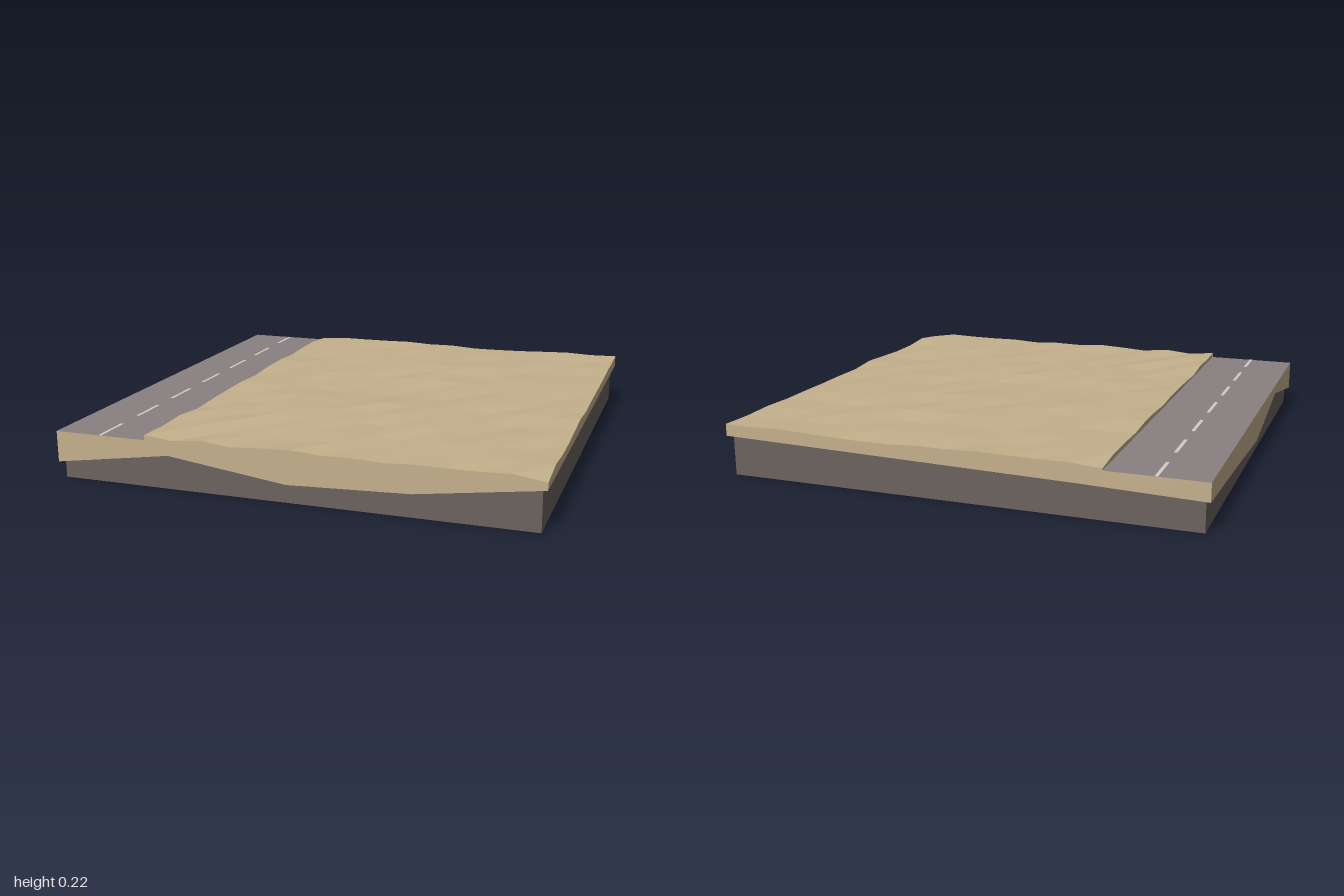
import * as THREE from 'three';

const ROAD_Y = 0.2, ROAD_EDGE = -0.6, CELLS = 13;
const CELL_X = (1 - ROAD_EDGE) / CELLS, CELL_Z = 2 / CELLS;

const material = (color) =>
  new THREE.MeshStandardMaterial({ color, flatShading: true, side: THREE.DoubleSide });

// Small seeded generator for the bumps in the sand
function seeded(seed) {
  return () => {
    seed = (seed * 16807) % 2147483647;
    return seed / 2147483647;
  };
}

// Linear interpolation in evenly spaced values, t from 0 to 1
function sample(values, t) {
  const f = Math.min(Math.max(t, 0), 1) * (values.length - 1);
  const i = Math.min(Math.floor(f), values.length - 2);
  return THREE.MathUtils.lerp(values[i], values[i + 1], f - i);
}

// Heights of the sand, rows from back to front, columns from the road outward
function makeHeights() {
  const random = seeded(4711);
  const rows = [];
  for (let r = 0; r <= CELLS; r++) {
    const row = [];
    for (let c = 0; c <= CELLS; c++) row.push(0.207 + 0.015 * random());
    rows.push(row);
  }
  rows[CELLS][CELLS] = 0.2;
  return rows;
}

// Vertical strip between a lower and an upper edge, with a narrow lip below
function makeSkirt(columns, inset) {
  const v = [];
  const quad = (a, b, c, d) => v.push(...a, ...b, ...c, ...a, ...c, ...d);
  for (let i = 0; i < columns.length - 1; i++) {
    const [a, b] = [columns[i], columns[i + 1]];
    const low = (p, s = 1) => [p.x * s, p.bottom, p.z * s];
    const high = (p) => [p.x, p.top, p.z];
    quad(low(a), low(b), high(b), high(a));
    if (inset) quad(low(a, inset), low(b, inset), low(b), low(a));
  }
  const geometry = new THREE.BufferGeometry();
  geometry.setAttribute('position', new THREE.Float32BufferAttribute(v, 3));
  geometry.computeVertexNormals();
  return geometry;
}

export function createModel() {
  const group = new THREE.Group();
  const soil = material(0xc4b08c);
  const add = (name, geometry, mat, x = 0, y = 0, z = 0, parent = group) => {
    const mesh = new THREE.Mesh(geometry, mat);
    mesh.name = name;
    mesh.position.set(x, y, z);
    parent.add(mesh);
    return mesh;
  };

  // Rock base
  add('rockBase', new THREE.BoxGeometry(1.96, 0.17, 1.96), material(0x6b625e), 0, 0.085, 0);

  // Faceted sand surface
  const heights = makeHeights();
  const sand = new THREE.PlaneGeometry(1 - ROAD_EDGE, 2, CELLS, CELLS).rotateX(-Math.PI / 2);
  const p = sand.attributes.position;
  for (let i = 0; i < p.count; i++) {
    p.setY(i, heights[Math.floor(i / (CELLS + 1))][i % (CELLS + 1)]);
  }
  sand.computeVertexNormals();
  add('sandSurface', sand, soil, (1 + ROAD_EDGE) / 2, 0, 0);

  // Soil skirt: columns at the sand vertices and at the kinks of the lower edge
  const kinks = [-1, -0.5, 0, 0.5, 1];
  const alongX = [...kinks, ROAD_EDGE - 0.001];
  const alongZ = [...kinks];
  for (let i = 0; i <= CELLS; i++) {
    alongX.push(ROAD_EDGE + i * CELL_X);
    alongZ.push(-1 + i * CELL_Z);
  }
  alongX.sort((a, b) => a - b);
  alongZ.sort((a, b) => a - b);
  const rowTop = (row, x) =>
    x < ROAD_EDGE - 0.0005 ? ROAD_Y : sample(row, (x - ROAD_EDGE) / (1 - ROAD_EDGE));
  const lower = {
    front: [0.07, 0.145, 0.08, 0.1, 0.17],
    back: [0.125, 0.14, 0.15, 0.16, 0.17],
    left: [0.17, 0.17, 0.17, 0.17, 0.17],
    right: [0.125, 0.1, 0.07, 0.16, 0.07],
  };
  const sideX = (z, row, edge) => alongX.map((x) => (
    { x, z, top: rowTop(row, x), bottom: sample(edge, (x + 1) / 2) }));
  const sideZ = (x, top, edge) => alongZ.map((z) => (
    { x, z, top: top((z + 1) / 2), bottom: sample(edge, (z + 1) / 2) }));
  const column = (c) => heights.map((row) => row[c]);

  add('frontSoil', makeSkirt(sideX(1, heights[CELLS], lower.front), 0.98), soil);
  add('backSoil', makeSkirt(sideX(-1, heights[0], lower.back).reverse(), 0.98), soil);
  add('leftSoil', makeSkirt(
    sideZ(1, (t) => sample(column(CELLS), t), lower.left).reverse(), 0.98), soil);
  add('rightSoil', makeSkirt(sideZ(-1, () => ROAD_Y, lower.right), 0.98), soil);

  // Low bank where the sand meets the road
  add('roadBank', makeSkirt(
    sideZ(ROAD_EDGE, (t) => sample(column(0), t), [ROAD_Y, ROAD_Y]), 0), soil);

  // Road with a dashed centre line
  const road = new THREE.Group();
  road.name = 'road';
  group.add(road);
  const flat = (w, d) => new THREE.PlaneGeometry(w, d).rotateX(-Math.PI / 2);
  add('roadSurface', flat(0.4, 2), material(0x8a8181), -0.8, ROAD_Y, 0, road);
  const paint = material(0xd0ccc6);
  for (let i = -3; i <= 3; i++) {
    const z = i * 0.305;
    const start = Math.max(z - 0.09, -1), end = Math.min(z + 0.09, 1);
    add('centreDash', flat(0.014, end - start), paint, -0.8, ROAD_Y + 0.001, (start + end) / 2, road);
  }
  return group;
}
